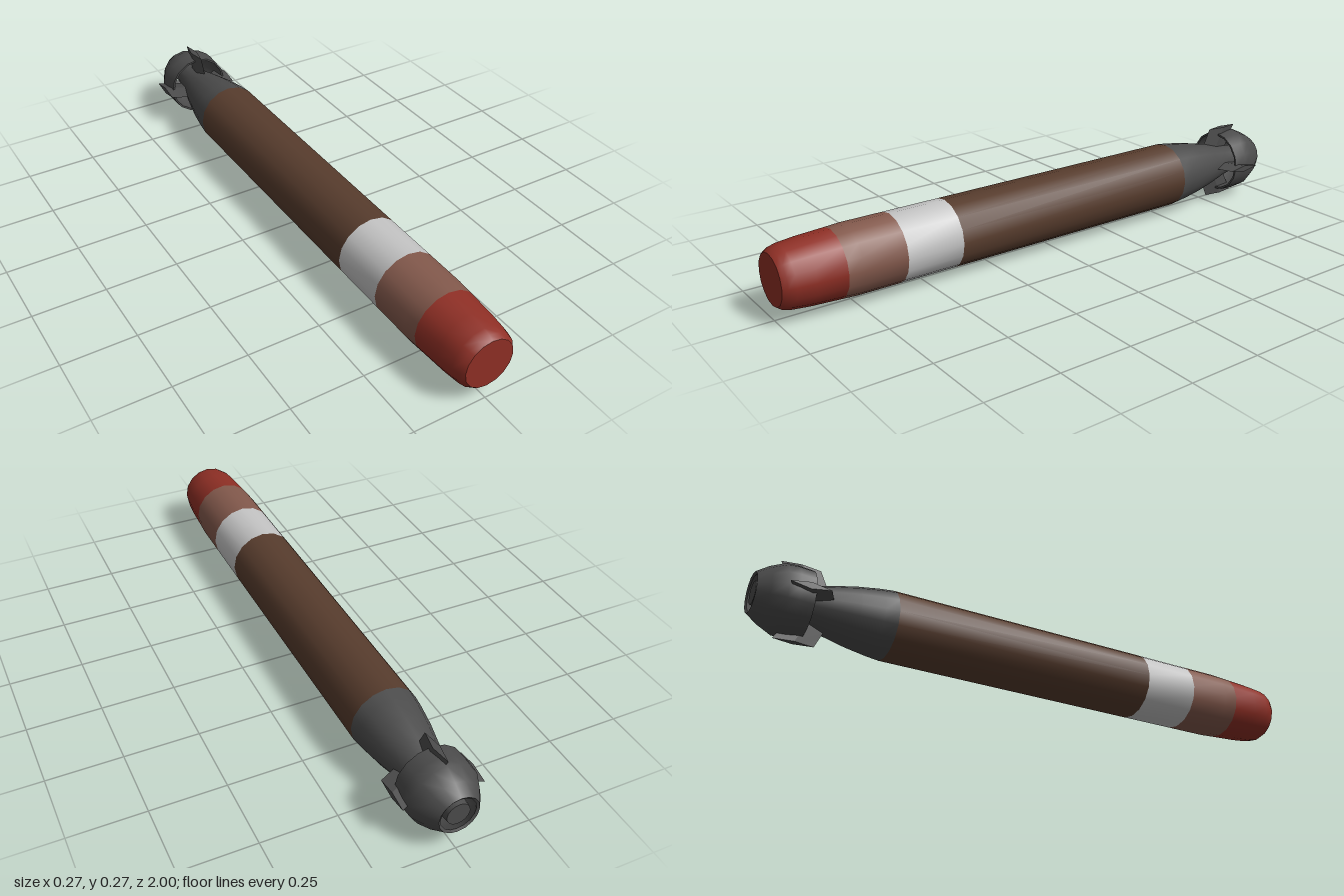
import * as THREE from 'three';
import { toCreasedNormals } from 'three/addons/utils/BufferGeometryUtils.js';

const SIDES = 16, R = 0.116, AXIS_Y = 0.134;

function material(name, color) {
  const m = new THREE.MeshStandardMaterial({ color });
  m.name = name;
  return m;
}

// Turned part along z; profile is [radius, z] from back to front on the outside
function turned(name, profile, mat) {
  const geo = new THREE.LatheGeometry(profile.map(([r, z]) => new THREE.Vector2(r, z)), SIDES);
  geo.rotateX(Math.PI / 2);
  const mesh = new THREE.Mesh(toCreasedNormals(geo, 0.7), mat);
  mesh.name = name;
  return mesh;
}

// Fin with a diamond section: loops of [radius, front z, back z], root to tip
function finGeometry() {
  const loops = [[0.05, -0.75, -0.88], [0.08, -0.765, -0.89], [0.134, -0.79, -0.92]];
  const half = 0.0115, pos = [], idx = [];
  for (const [y, front, back] of loops) {
    const mid = (front + back) / 2;
    pos.push(0, y, front, half, y, mid, 0, y, back, -half, y, mid);
  }
  for (let l = 0; l < loops.length - 1; l++) {
    for (let i = 0; i < 4; i++) {
      const a = l * 4 + i, b = l * 4 + (i + 1) % 4;
      idx.push(a, b, b + 4, a, b + 4, a + 4);
    }
  }
  const t = (loops.length - 1) * 4;
  idx.push(t, t + 1, t + 2, t, t + 2, t + 3);
  const geo = new THREE.BufferGeometry();
  geo.setAttribute('position', new THREE.Float32BufferAttribute(pos, 3));
  geo.setIndex(idx);
  return toCreasedNormals(geo, 0.2);
}

export function createModel() {
  const red = material('noseRed', 0x8f2f25);
  const rose = material('bandRose', 0x83594c);
  const white = material('bandWhite', 0xc4c4c4);
  const brown = material('bodyBrown', 0x573c2d);
  const grey = material('tailGrey', 0x4c4c4c);

  const model = new THREE.Group();
  model.name = 'torpedo';
  const body = new THREE.Group();
  body.name = 'body';
  body.position.y = AXIS_Y;
  model.add(body);

  // Nose and painted hull sections
  body.add(
    turned('nose', [[0.113, 0.8], [0.108, 0.9], [0.102, 0.96], [0.096, 0.985], [0.085, 1], [0, 1]], red),
    turned('roseBand', [[R, 0.6], [R, 0.75], [0.113, 0.8]], rose),
    turned('whiteBand', [[R, 0.4], [R, 0.6]], white),
    turned('hull', [[R, -0.56], [R, 0.4]], brown),
  );

  // Tapering tail with the hub running through the shroud
  body.add(turned('tailCone', [
    [0, -0.995], [0.038, -0.995], [0.046, -0.92], [0.063, -0.83], [0.08, -0.765],
    [0.099, -0.68], [0.111, -0.605], [R, -0.56],
  ], grey));

  // Hollow shroud ring around the hub
  body.add(turned('shroud', [
    [0.058, -0.995], [0.066, -1], [0.092, -0.962], [0.114, -0.915], [R, -0.88], [0.113, -0.83],
    [0.106, -0.83], [0.106, -0.91], [0.085, -0.955], [0.058, -0.995],
  ], grey));

  // Four fins at right angles
  const fin = finGeometry();
  for (let i = 0; i < 4; i++) {
    const mesh = new THREE.Mesh(fin, grey);
    mesh.name = 'fin' + (i + 1);
    mesh.rotation.z = i * Math.PI / 2;
    body.add(mesh);
  }
  return model;
}
